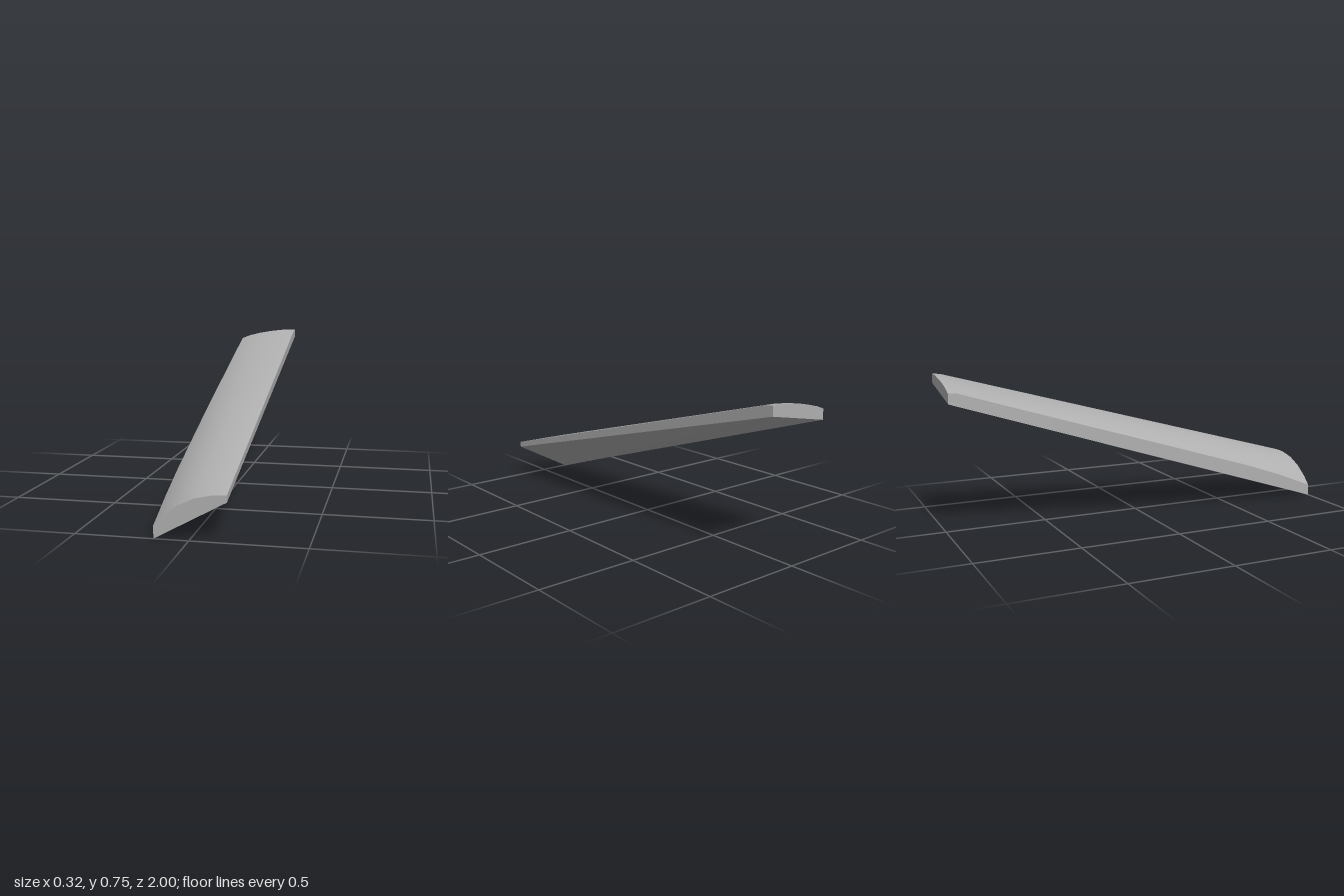
import * as THREE from 'three';

const V = (x, y, z) => new THREE.Vector3(x, y, z);
const lerp = THREE.MathUtils.lerp;

// Curved upper edge of the two end sections: fractions across, then heights
const across = [0, 0.13, 0.325, 0.557, 0.82, 1];
const frontTop = [0.057, 0.1, 0.147, 0.182, 0.2, 0.202];
const backTop = [0.69, 0.706, 0.722, 0.735, 0.745, 0.746];

// Stations along the blade: z and extra height on the left edge
const stations = [[1, 0], [0.8, 0.016], [0.6, 0.022], [0.2, 0.02], [-0.1, 0.017], [-0.5, 0.013], [-0.96, 0.01], [-1, 0]];
const RIGHT = 0.162;

function section([z, bulge]) {
  const t = (1 - z) / 2;
  const left = lerp(-0.152, -0.163, Math.min(1, t / 0.55));
  const crown = z > -1 ? 0.0035 * (1 - z) : 0;
  return {
    top: across.map((u, j) => V(
      lerp(left, RIGHT, u),
      lerp(frontTop[j], backTop[j], t) + bulge * (1 - u) + crown * u, z)),
    bottom: across.map((u) => V(
      lerp(left, RIGHT, u),
      lerp(lerp(0, 0.64, t), lerp(0.172, 0.7, t), u), z)),
  };
}

// Surface through rows of points
function panel(rows) {
  const n = rows[0].length;
  const index = [];
  for (let i = 0; i < rows.length - 1; i++) {
    for (let j = 0; j < n - 1; j++) {
      const a = i * n + j, b = a + 1, c = a + n, d = c + 1;
      index.push(a, b, c, b, d, c);
    }
  }
  const geometry = new THREE.BufferGeometry().setFromPoints(rows.flat());
  geometry.setIndex(index);
  geometry.computeVertexNormals();
  return geometry;
}

export function createModel() {
  const group = new THREE.Group();
  group.name = 'twistedBlade';
  const grey = new THREE.MeshStandardMaterial({ color: 0xb0b0b0 });
  grey.name = 'grey';
  const add = (name, geometry) => {
    const mesh = new THREE.Mesh(geometry, grey);
    mesh.name = name;
    group.add(mesh);
  };

  const sections = stations.map(section);
  const first = sections[0], last = sections[sections.length - 1];

  // Cambered top, long sides and end caps
  add('curvedTop', panel(sections.map((s) => s.top)));
  add('leftSide', panel(sections.map((s) => [s.bottom[0], s.top[0]])));
  add('rightSide', panel(sections.map((s) => [s.top[5], s.bottom[5]])));
  add('frontEnd', panel([first.bottom, first.top]));
  add('backEnd', panel([last.top, last.bottom]));

  // Underside folded along its diagonal
  const apex = last.bottom[5];
  const points = [first.bottom[5], first.bottom[0], apex];
  for (let i = 0; i < sections.length - 1; i++) {
    points.push(sections[i].bottom[0], sections[i + 1].bottom[0], apex);
  }
  const underside = new THREE.BufferGeometry().setFromPoints(points);
  underside.computeVertexNormals();
  add('underside', underside);

  return group;
}
